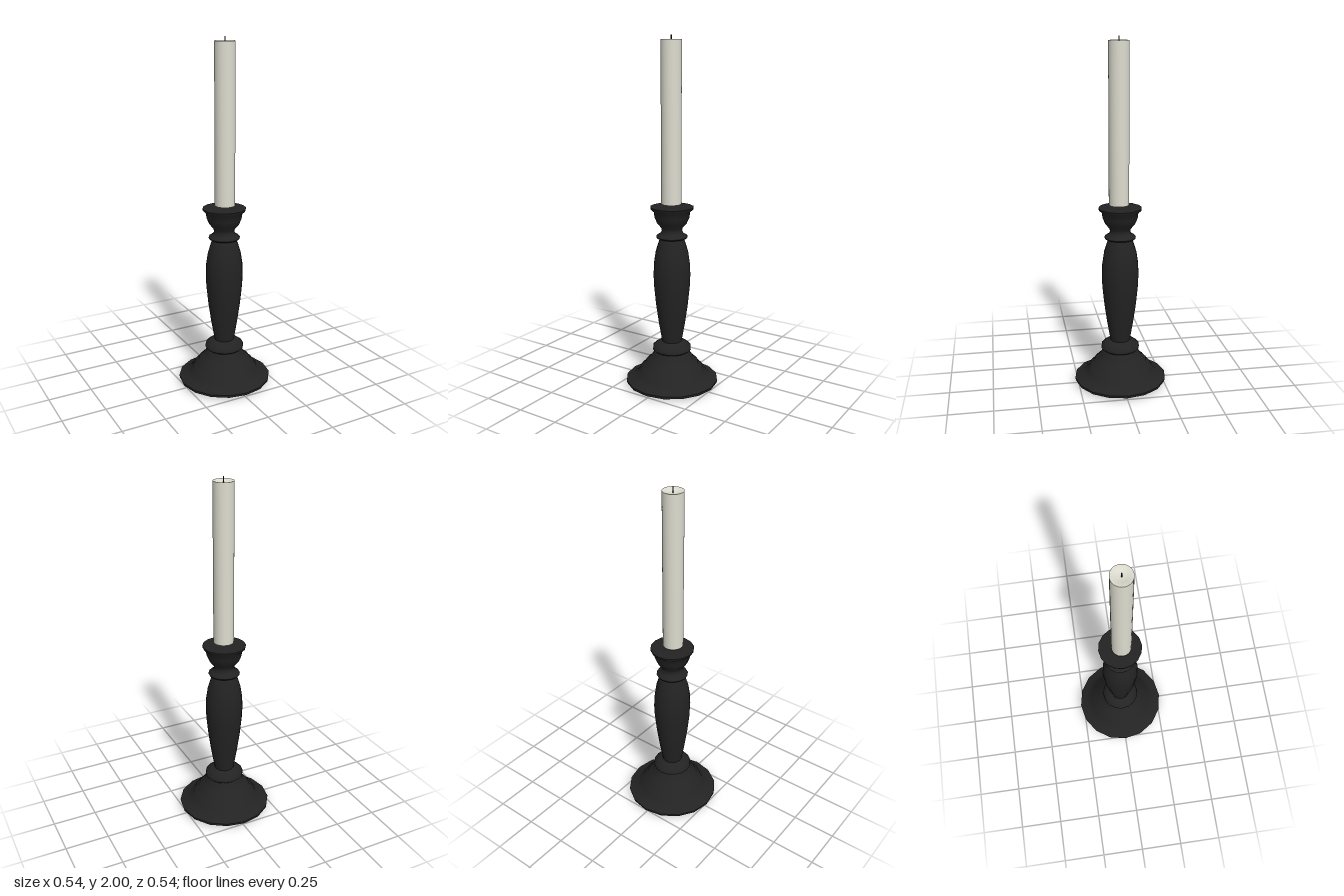
import * as THREE from 'three';
import { toCreasedNormals } from 'three/addons/utils/BufferGeometryUtils.js';

// Revolve a profile of [radius, height] pairs listed from bottom to top
function turned(name, profile, segments, material, crease) {
  const points = profile.map(([r, y]) => new THREE.Vector2(r, y));
  const geometry = toCreasedNormals(new THREE.LatheGeometry(points, segments), crease);
  const mesh = new THREE.Mesh(geometry, material);
  mesh.name = name;
  return mesh;
}

export function createModel() {
  const blackWood = new THREE.MeshStandardMaterial({ color: 0x232323 });
  blackWood.name = 'blackWood';
  const wax = new THREE.MeshStandardMaterial({ color: 0xdddccf });
  wax.name = 'wax';
  const wickBlack = new THREE.MeshStandardMaterial({ color: 0x1c1c22 });
  wickBlack.name = 'wickBlack';

  const model = new THREE.Group();
  model.name = 'candlestick';

  // Stepped foot with its collar
  model.add(turned('foot', [
    [0, 0], [0.235, 0.005], [0.266, 0.017], [0.269, 0.032], [0.225, 0.048],
    [0.193, 0.075], [0.178, 0.108], [0.16, 0.12], [0.152, 0.138], [0.128, 0.156],
    [0.112, 0.18], [0.1, 0.204], [0.112, 0.214], [0.11, 0.234], [0.085, 0.253], [0.058, 0.264],
  ], 16, blackWood, 0.9));

  // Swelling stem
  model.add(turned('stem', [
    [0.058, 0.264], [0.062, 0.29], [0.076, 0.37], [0.093, 0.49], [0.104, 0.6],
    [0.107, 0.67], [0.104, 0.735], [0.094, 0.8], [0.077, 0.855], [0.068, 0.88],
  ], 16, blackWood, 0.9));

  // Neck ring and flared cup with a flat top
  model.add(turned('cup', [
    [0.068, 0.88], [0.086, 0.883], [0.09, 0.89], [0.086, 0.897], [0.066, 0.908],
    [0.057, 0.925], [0.062, 0.943], [0.085, 0.97], [0.1, 1.005], [0.104, 1.035],
    [0.121, 1.05], [0.123, 1.062], [0, 1.062],
  ], 16, blackWood, 0.9));

  // Candle with a slightly hollow top, set just above the cup
  const candle = new THREE.Group();
  candle.name = 'candle';
  candle.position.z = 0.007;
  candle.add(turned('waxBody', [
    [0, 1.08], [0.057, 1.08], [0.057, 1.978], [0.053, 1.978], [0.03, 1.969], [0, 1.965],
  ], 32, wax, 0.6));

  const wick = new THREE.Mesh(new THREE.CylinderGeometry(0.003, 0.003, 0.036, 8), wickBlack);
  wick.name = 'wick';
  wick.position.y = 1.982;
  candle.add(wick);
  model.add(candle);

  return model;
}
